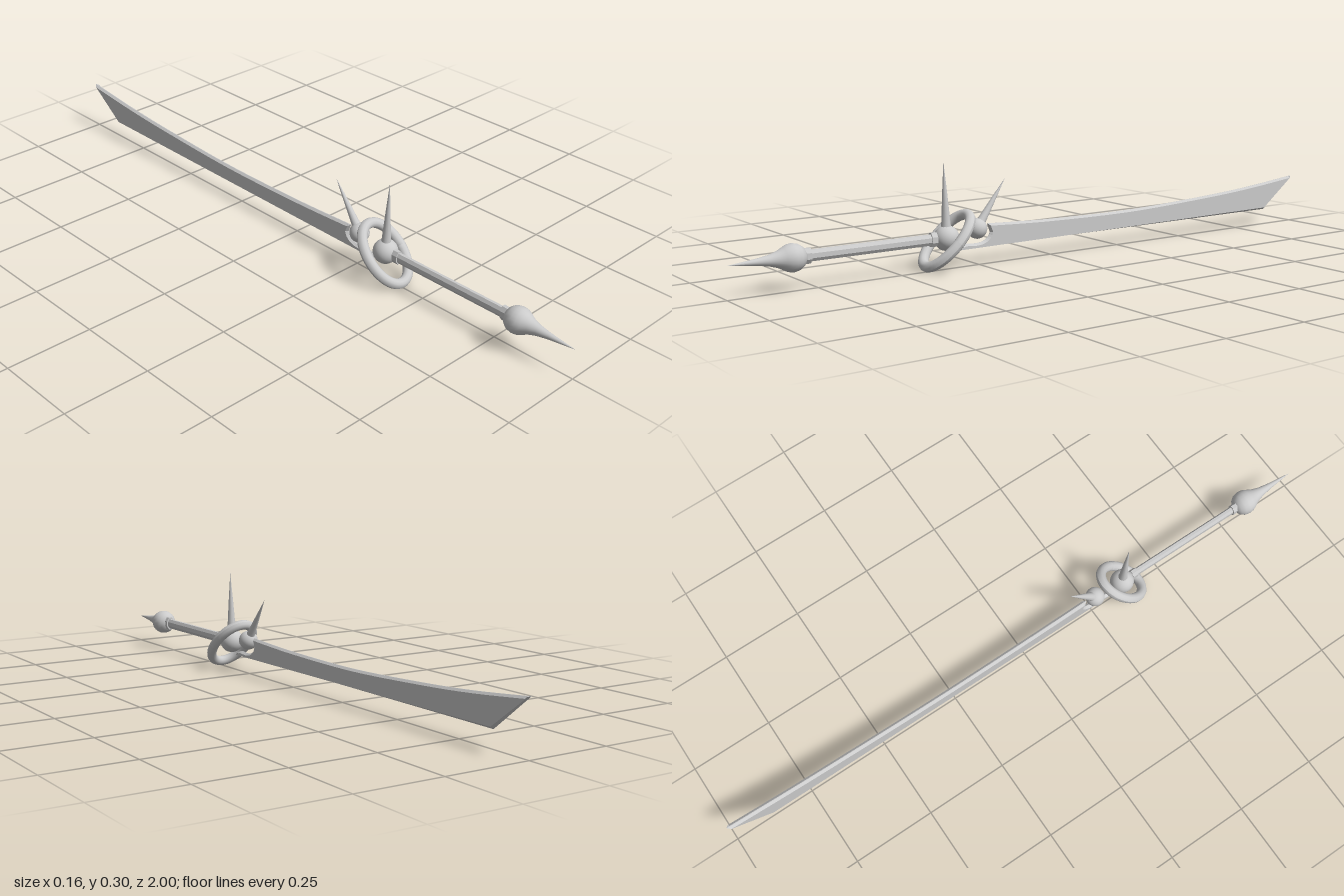
import * as THREE from 'three';

const material = new THREE.MeshStandardMaterial({ color: 0xcccccc });
const flatMaterial = new THREE.MeshStandardMaterial({ color: 0xcccccc, flatShading: true });

export function createModel() {
  const group = new THREE.Group();
  const add = (name, geometry, y, z, mat = material) => {
    const mesh = new THREE.Mesh(geometry, mat);
    mesh.name = name;
    mesh.position.set(0, y, z);
    group.add(mesh);
    return mesh;
  };
  // Lathe profile given as [radius, height], from bottom to top
  const lathe = (points, segments) =>
    new THREE.LatheGeometry(points.map(([r, h]) => new THREE.Vector2(r, h)), segments);
  const axisY = 0.088;

  // Pommel: round ball drawn out into a concave spike
  const pommel = add('pommel', lathe([
    [0, -0.038], [0.015, -0.035], [0.027, -0.027], [0.035, -0.015], [0.038, 0],
    [0.036, 0.014], [0.03, 0.026], [0.022, 0.042], [0.015, 0.065], [0.009, 0.1], [0, 0.18],
  ], 24), axisY, 0.82);
  pommel.rotation.x = Math.PI / 2;

  // Grip with a collar at each end, eight-sided and narrow in x
  const bar = (name, radius, length, z) => {
    const geometry = new THREE.CylinderGeometry(radius, radius, length, 8);
    geometry.rotateY(Math.PI / 8);
    geometry.rotateX(Math.PI / 2);
    geometry.scale(0.65, 1, 1);
    add(name, geometry, axisY, z, flatMaterial);
  };
  bar('grip', 0.0165, 0.42, 0.58);
  bar('rearCollar', 0.022, 0.018, 0.78);
  bar('frontCollar', 0.021, 0.018, 0.4);

  // Oval guard ring leaning toward the blade
  const ringGeometry = new THREE.TorusGeometry(0.063, 0.015, 12, 48);
  const position = ringGeometry.attributes.position;
  for (let i = 0; i < position.count; i++) {
    const x = position.getX(i), y = position.getY(i);
    const stretch = 0.031 * y / Math.hypot(x, y);
    position.setY(i, y + stretch);
  }
  ringGeometry.computeVertexNormals();
  const ring = add('guardRing', ringGeometry, 0.081, 0.356);
  ring.rotation.x = -Math.PI / 4;

  // Balls with thorn-like spikes
  const thorn = (name, radius, y, z, tipY, tipZ, baseRadius) => {
    add(name + 'Ball', new THREE.SphereGeometry(radius, 24, 16), y, z);
    const direction = new THREE.Vector3(0, tipY - y, tipZ - z);
    const length = direction.length();
    const spike = add(name + 'Spike', lathe([
      [baseRadius * 1.25, radius * 0.6], [baseRadius, radius * 1.1],
      [baseRadius * 0.5, length * 0.62], [0, length],
    ], 12), y, z);
    spike.quaternion.setFromUnitVectors(new THREE.Vector3(0, 1, 0), direction.normalize());
  };
  thorn('guard', 0.036, axisY, 0.357, 0.302, 0.364, 0.013);
  thorn('bladeRoot', 0.029, 0.104, 0.256, 0.24, 0.16, 0.012);

  // Blade outline in (z, y): curved spine, slanted tip and a round cut at the root
  const outline = new THREE.Shape();
  outline.moveTo(0.33, 0.052);
  outline.quadraticCurveTo(0.3, 0.067, 0.285, 0.064);
  outline.quadraticCurveTo(0.222, 0.056, 0.213, 0.09);
  outline.lineTo(0.222, 0.115);
  outline.splineThru([[0, 0.106], [-0.3, 0.104], [-0.6, 0.117], [-0.8, 0.131], [-1, 0.152]]
    .map(([z, y]) => new THREE.Vector2(z, y)));
  outline.lineTo(-0.875, 0.05);
  outline.lineTo(0.31, 0.05);
  outline.closePath();
  const depth = 0.002;
  const bladeGeometry = new THREE.ExtrudeGeometry(outline, {
    depth, bevelEnabled: true, bevelThickness: 0.007, bevelSize: 0.006,
    bevelOffset: -0.006, bevelSegments: 1, curveSegments: 10,
  });
  bladeGeometry.translate(0, 0, -depth / 2);
  bladeGeometry.rotateY(-Math.PI / 2);
  add('blade', bladeGeometry, 0, 0, flatMaterial);

  return group;
}
